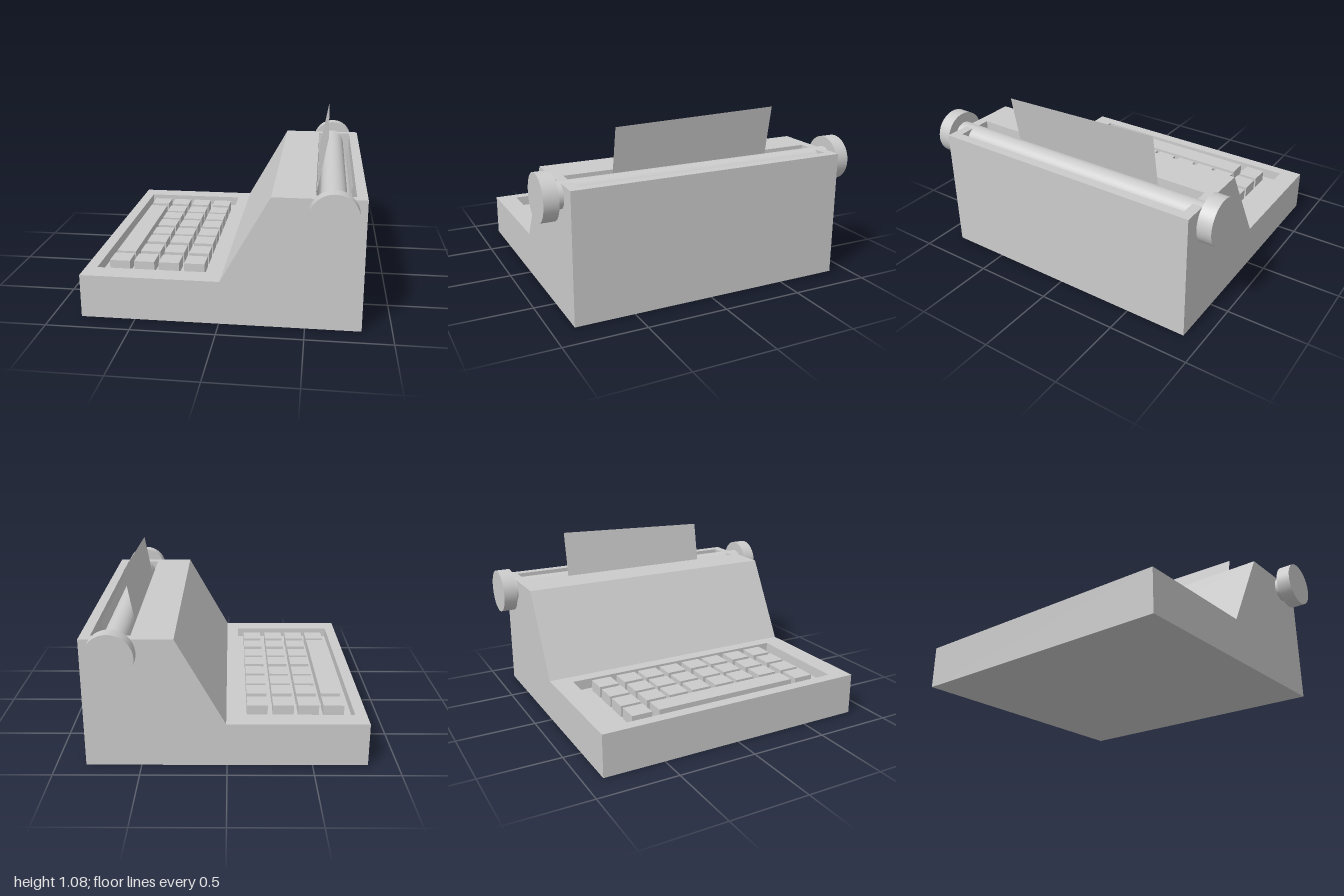
import * as THREE from 'three';

const mat = new THREE.MeshStandardMaterial({ color: 0xcccccc });
const thin = new THREE.MeshStandardMaterial({ color: 0xcccccc, side: THREE.DoubleSide });

function add(group, name, geometry, x = 0, y = 0, z = 0, material = mat) {
  const mesh = new THREE.Mesh(geometry, material);
  mesh.name = name;
  mesh.position.set(x, y, z);
  group.add(mesh);
  return mesh;
}

// Flat polygons (corners counter-clockwise from outside), fanned into triangles
function polygons(list) {
  const pos = [];
  for (const p of list)
    for (let i = 1; i < p.length - 1; i++) pos.push(...p[0], ...p[i], ...p[i + 1]);
  const g = new THREE.BufferGeometry();
  g.setAttribute('position', new THREE.Float32BufferAttribute(pos, 3));
  g.computeVertexNormals();
  return g;
}

// Horizontal rectangle, counter-clockwise seen from above
const rect = (x0, x1, z0, z1, y) => [[x0, y, z1], [x1, y, z1], [x1, y, z0], [x0, y, z0]];

// Flat top with a sunken rectangular well
function topWithWell(outer, hole, y, floorY) {
  const rings = [rect(...outer, y), rect(...hole, y), rect(...hole, floorY)];
  const faces = [rings[2]];
  for (let r = 0; r < 2; r++)
    for (let i = 0; i < 4; i++) {
      const j = (i + 1) % 4;
      faces.push([rings[r][i], rings[r][j], rings[r + 1][j], rings[r + 1][i]]);
    }
  return faces;
}

function buildBody() {
  const zb = -0.885, zf = 0.865;
  // side outline, counter-clockwise seen from +z
  const outline = [[-0.825, 0], [0.825, 0], [0.825, 0.785], [0.295, 0.785], [0.005, 0.265], [-0.825, 0.265]];
  const faces = [];
  for (const i of [0, 1, 3, 5]) { // bottom, back, slope, front edge
    const a = outline[i], b = outline[(i + 1) % 6];
    faces.push([[...a, zf], [...a, zb], [...b, zb], [...b, zf]]);
  }
  // side walls, split into a low and a tall half
  for (const half of [[[-0.825, 0], [0.005, 0], [0.005, 0.265], [-0.825, 0.265]],
    [[0.005, 0], [0.825, 0], [0.825, 0.785], [0.295, 0.785], [0.005, 0.265]]]) {
    faces.push(half.map(p => [...p, zf]));
    faces.push(half.map(p => [...p, zb]).reverse());
  }
  // key deck and carriage top
  faces.push(...topWithWell([-0.825, 0.005, zb, zf], [-0.755, -0.075, -0.76, 0.735], 0.265, 0.2));
  faces.push(...topWithWell([0.295, 0.825, zb, zf], [0.54, 0.765, -0.825, 0.805], 0.785, 0.58));
  return polygons(faces);
}

// Sheet that drops in front of the roller, curls below it and rises behind it
function buildPaper(cx, cy) {
  const r = 0.1, start = 170, rows = 28;
  const path = topY => {
    const t = THREE.MathUtils.degToRad(start);
    const x0 = cx + r * Math.cos(t), y0 = cy + r * Math.sin(t);
    const pts = [[x0 + (topY - y0) * 0.18, topY]];
    for (let i = 0; i <= rows; i++) {
      const a = THREE.MathUtils.degToRad(start + (i / rows) * 190);
      pts.push([cx + r * Math.cos(a), cy + r * Math.sin(a)]);
    }
    pts.push([cx + 0.11, cy + 0.05]);
    return pts;
  };
  const pos = [], index = [];
  const left = path(1.045), right = path(1.075);
  left.forEach((p, i) => {
    pos.push(...p, 0.512, ...right[i], -0.527);
    if (i) {
      const k = 2 * i;
      index.push(k - 2, k, k - 1, k - 1, k, k + 1);
    }
  });
  const g = new THREE.BufferGeometry();
  g.setAttribute('position', new THREE.Float32BufferAttribute(pos, 3));
  g.setIndex(index);
  g.computeVertexNormals();
  return g;
}

export function createModel() {
  const model = new THREE.Group();
  model.name = 'typewriter';
  add(model, 'body', buildBody());

  // Keys
  const keys = new THREE.Group();
  keys.name = 'keys';
  model.add(keys);
  const columns = [-0.645, -0.493, -0.34, -0.182];
  const rows = [-0.585, -0.415, -0.262, -0.103, 0.065, 0.22, 0.393, 0.565];
  const keyBox = new THREE.BoxGeometry(0.126, 0.072, 0.128);
  columns.forEach((x, c) => rows.forEach((z, r) => {
    if (c > 0 || r === 0 || r === rows.length - 1) add(keys, 'key', keyBox, x, 0.234, z);
  }));
  add(keys, 'spaceBar', new THREE.BoxGeometry(0.122, 0.072, 0.945), columns[0], 0.234, -0.002);

  // Roller with a knob at each end
  const cx = 0.643, cy = 0.712;
  const roller = add(model, 'roller', new THREE.CylinderGeometry(0.078, 0.078, 1.84, 48), cx, cy, 0);
  roller.rotation.x = Math.PI / 2;
  for (const s of [-1, 1]) {
    const knob = add(model, 'knob', new THREE.CylinderGeometry(0.14, 0.14, 0.088, 48), cx, cy + 0.002, s * 0.956);
    knob.rotation.x = Math.PI / 2;
  }

  add(model, 'paper', buildPaper(cx, cy), 0, 0, 0, thin);
  return model;
}
